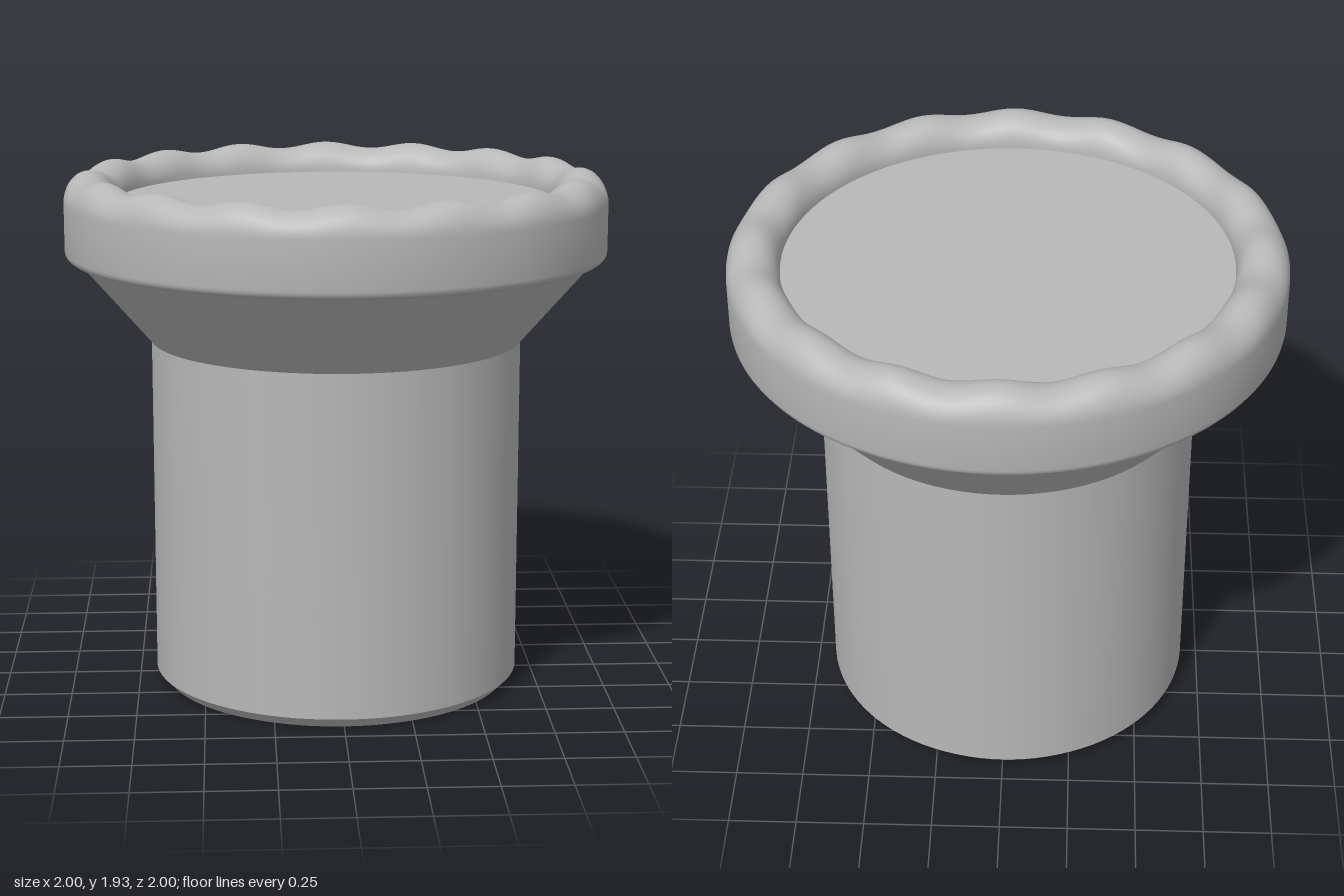
import * as THREE from 'three';
import { toCreasedNormals } from 'three/addons/utils/BufferGeometryUtils.js';

const RIM_BASE = 1.82; // height where the rounded lip starts
const WAVES = 16;

// Points on an elliptical arc, angles in degrees
function arc(cx, cy, rx, ry, from, to, steps) {
  return Array.from({ length: steps + 1 }, (_, i) => {
    const a = THREE.MathUtils.degToRad(from + (to - from) * i / steps);
    return [cx + rx * Math.cos(a), cy + ry * Math.sin(a)];
  });
}

function lathe(points, segments) {
  return new THREE.LatheGeometry(points.map(([r, y]) => new THREE.Vector2(r, y)), segments);
}

export function createModel() {
  const model = new THREE.Group();
  const grey = new THREE.MeshStandardMaterial({ color: 0xb8b8b8 });
  grey.name = 'plain grey';

  const add = (name, geometry) => {
    const mesh = new THREE.Mesh(toCreasedNormals(geometry, 0.5), grey);
    mesh.name = name;
    model.add(mesh);
  };

  // Blind bore with a chamfered mouth
  add('bore', lathe([[0, 1.1], [0.35, 1.1], [0.35, 0.035], [0.385, 0]], 96));

  // Bottom face, bevel, straight stem and flared neck
  add('stem', lathe([[0.385, 0], [0.648, 0], [0.687, 0.04], [0.687, 1.305], [0.955, 1.615]], 96));

  // Rim with rounded lower edge and a scalloped lip
  const rim = lathe([
    [0.95, 1.615],
    ...arc(0.97, 1.645, 0.03, 0.03, -90, 0, 4),
    ...arc(0.905, RIM_BASE, 0.095, 0.098, 0, 180, 20),
  ], 192);
  const p = rim.attributes.position;
  for (let i = 0; i < p.count; i++) {
    const lift = Math.max(0, p.getY(i) - RIM_BASE) / 0.098;
    const wave = Math.cos(WAVES * Math.atan2(p.getX(i), p.getZ(i)));
    p.setY(i, p.getY(i) + 0.012 * lift * wave);
  }
  add('scallopedRim', rim);

  // Flat face inside the rim
  add('topFace', lathe([[0.812, RIM_BASE], [0, RIM_BASE]], 96));

  return model;
}
